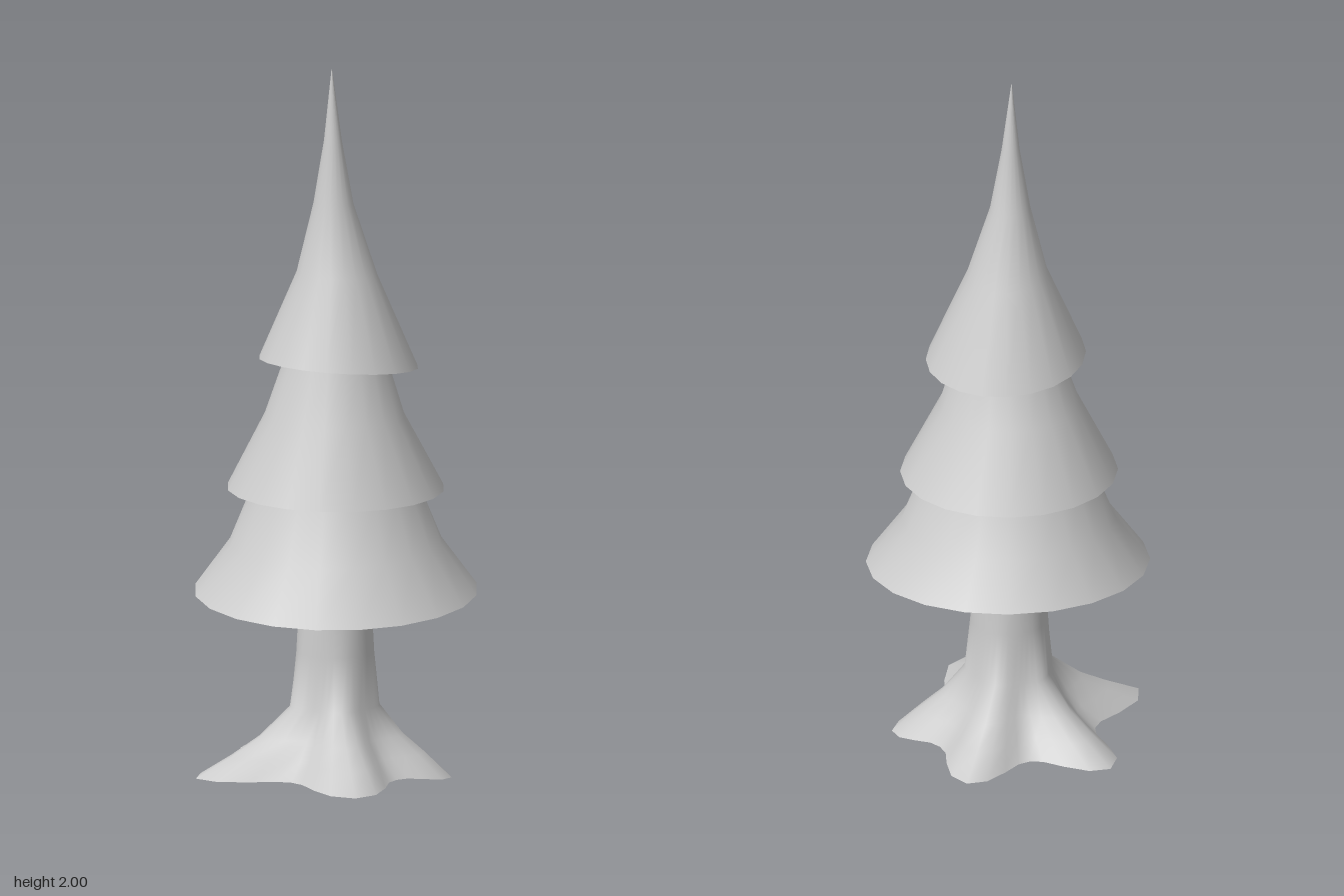
import * as THREE from 'three';

const material = new THREE.MeshStandardMaterial({ color: 0xcccccc, side: THREE.DoubleSide });

// Smooth open surface through closed rings; point(row, col) returns [x, y, z]
function loft(name, rows, cols, point) {
  const positions = [], index = [];
  for (let i = 0; i < rows; i++) {
    for (let j = 0; j < cols; j++) {
      positions.push(...point(i, j));
      if (i === rows - 1) continue;
      const a = i * cols + j, b = i * cols + (j + 1) % cols;
      index.push(a, a + cols, b, b, a + cols, b + cols);
    }
  }
  const geometry = new THREE.BufferGeometry();
  geometry.setAttribute('position', new THREE.Float32BufferAttribute(positions, 3));
  geometry.setIndex(index);
  geometry.computeVertexNormals();
  const mesh = new THREE.Mesh(geometry, material);
  mesh.name = name;
  return mesh;
}

// Hollow cone of foliage: rows are [y, radius, centre x, centre z];
// the rim tilts by the two slopes, fading out towards the top
function foliageTier(name, rows, slopeX, slopeZ) {
  const sides = 20;
  return loft(name, rows.length, sides, (i, j) => {
    const [y, r, cx, cz] = rows[i];
    const angle = ((j + 0.67) / sides) * Math.PI * 2;
    const x = Math.cos(angle) * r, z = Math.sin(angle) * r;
    const fade = 1 - i / (rows.length - 1);
    return [cx + x, y + (slopeX * x + slopeZ * z) * fade, cz + z];
  });
}

// Trunk flaring into five roots
function trunk() {
  // angle in degrees from +x towards +z, reach, height of the tip
  const roots = [
    [-162, 0.415, 0.02], [-87, 0.395, 0.02], [-24, 0.385, 0.02],
    [47, 0.325, 0.0], [122, 0.42, 0.02],
  ];
  // height, radius between roots, share of the root's reach
  const rings = [
    [0.02, 0.24, 1], [0.07, 0.19, 0.72], [0.12, 0.155, 0.42], [0.2, 0.117, 0.08],
    [0.35, 0.108, 0], [0.5, 0.1, 0], [0.9, 0.07, 0],
  ];
  const steps = 8;
  return loft('trunk', rings.length, roots.length * steps, (i, j) => {
    const [y, valley, share] = rings[i];
    const k = Math.floor(j / steps), t = (j % steps) / steps;
    const from = roots[k], to = roots[(k + 1) % roots.length];
    const span = (to[0] - from[0] + 360) % 360;
    const angle = THREE.MathUtils.degToRad(from[0] + span * t);
    const near = t < 0.5 ? from : to;
    const weight = Math.pow(0.5 + 0.5 * Math.cos(t * Math.PI * 2), 1.3);
    const r = valley + weight * (near[1] - 0.24) * share;
    const drop = i === 0 ? (near[2] - 0.02) * weight : 0;
    return [0.005 + Math.cos(angle) * r, y + drop, Math.sin(angle) * r - 0.003];
  });
}

export function createModel() {
  const tree = new THREE.Group();
  tree.name = 'pineTree';
  tree.add(
    trunk(),
    foliageTier('lowerFoliage', [
      [0.525, 0.394, 0.002, 0.004], [0.66, 0.296, 0.005, 0],
      [0.81, 0.235, 0.005, 0], [0.96, 0.165, 0.005, 0],
    ], 0.055, -0.062),
    foliageTier('middleFoliage', [
      [0.812, 0.302, 0.01, -0.007], [1.02, 0.195, 0, 0],
      [1.18, 0.143, 0, 0.005], [1.32, 0.09, 0, 0.005],
    ], 0.01, -0.022),
    foliageTier('topFoliage', [
      [1.167, 0.222, 0.012, 0.003], [1.42, 0.113, 0.005, 0.005], [1.62, 0.056, -0.008, 0.005],
      [1.8, 0.025, -0.01, 0.005], [2.0, 0.001, -0.014, 0.005],
    ], -0.09, 0.01),
  );
  return tree;
}
